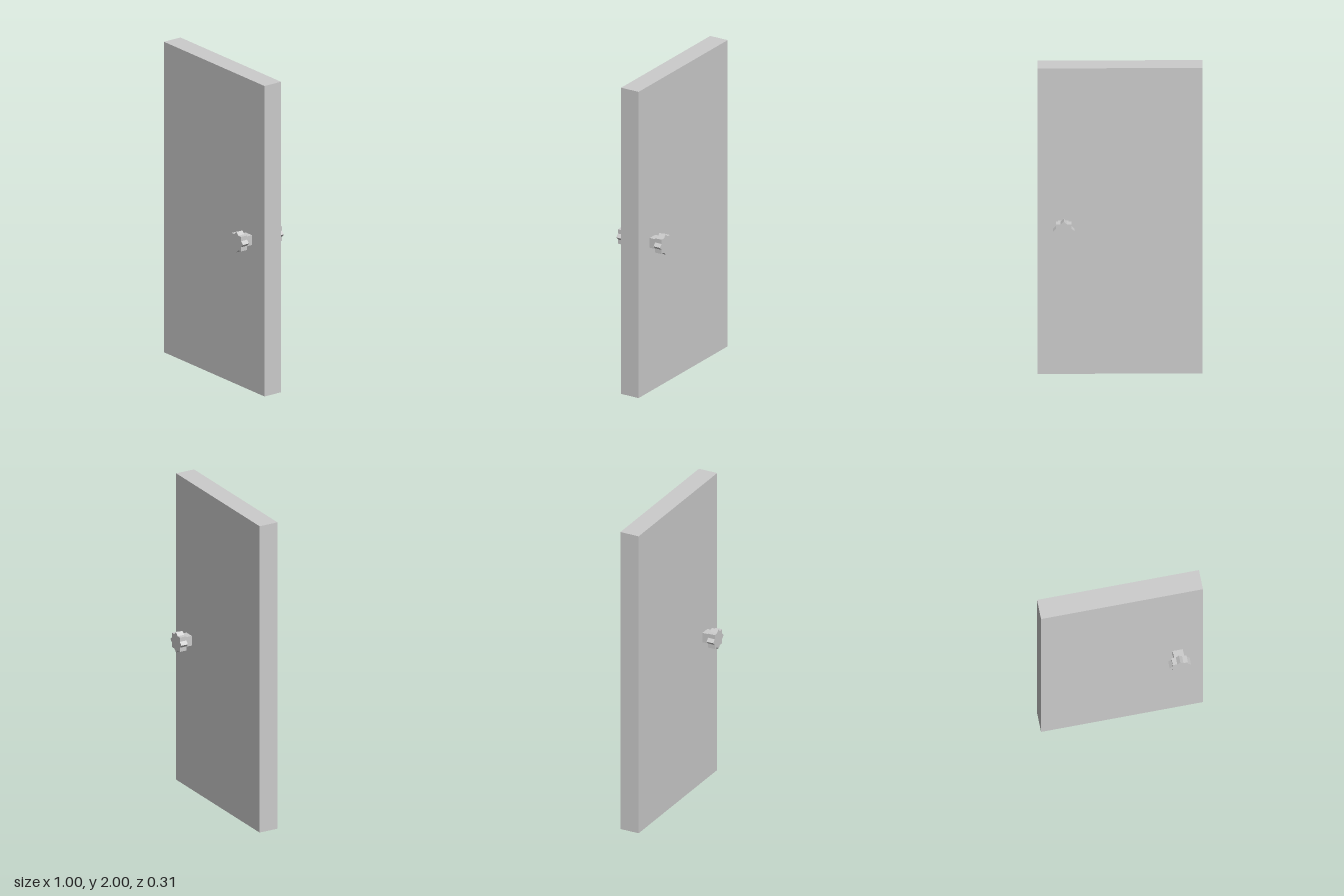
import * as THREE from 'three';

const material = new THREE.MeshStandardMaterial({ color: 0xcccccc, flatShading: true });

function addPart(parent, name, geometry, x, y, z) {
  const mesh = new THREE.Mesh(geometry, material);
  mesh.name = name;
  mesh.position.set(x, y, z);
  parent.add(mesh);
  return mesh;
}

// Eight-pointed star: outline of two overlapping squares
function starShape(radius) {
  const inner = radius * Math.cos(Math.PI / 4) / Math.cos(Math.PI / 8);
  const points = [];
  for (let i = 0; i < 16; i++) {
    const r = i % 2 ? inner : radius;
    const a = (i * Math.PI) / 8;
    points.push(new THREE.Vector2(r * Math.cos(a), r * Math.sin(a)));
  }
  return new THREE.Shape(points);
}

export function createModel() {
  const door = new THREE.Group();
  door.name = 'door';

  // Slab
  const halfThickness = 0.063;
  addPart(door, 'doorPanel', new THREE.BoxGeometry(1, 2, halfThickness * 2), 0, 1, 0);

  // Knob with square stem, one on each face
  const stemLength = 0.048, knobDepth = 0.046;
  const stemGeometry = new THREE.BoxGeometry(0.063, 0.063, stemLength);
  const knobGeometry = new THREE.ExtrudeGeometry(starShape(0.066), { depth: knobDepth, bevelEnabled: false });
  knobGeometry.translate(0, 0, -knobDepth / 2);

  for (const [side, sign] of [['front', 1], ['back', -1]]) {
    const handle = new THREE.Group();
    handle.name = side + 'Handle';
    handle.position.set(0.342, 0.97, sign * halfThickness);
    addPart(handle, side + 'Stem', stemGeometry, 0.002, 0.002, sign * stemLength / 2);
    addPart(handle, side + 'Knob', knobGeometry, 0, 0, sign * (stemLength + knobDepth / 2));
    door.add(handle);
  }
  return door;
}
